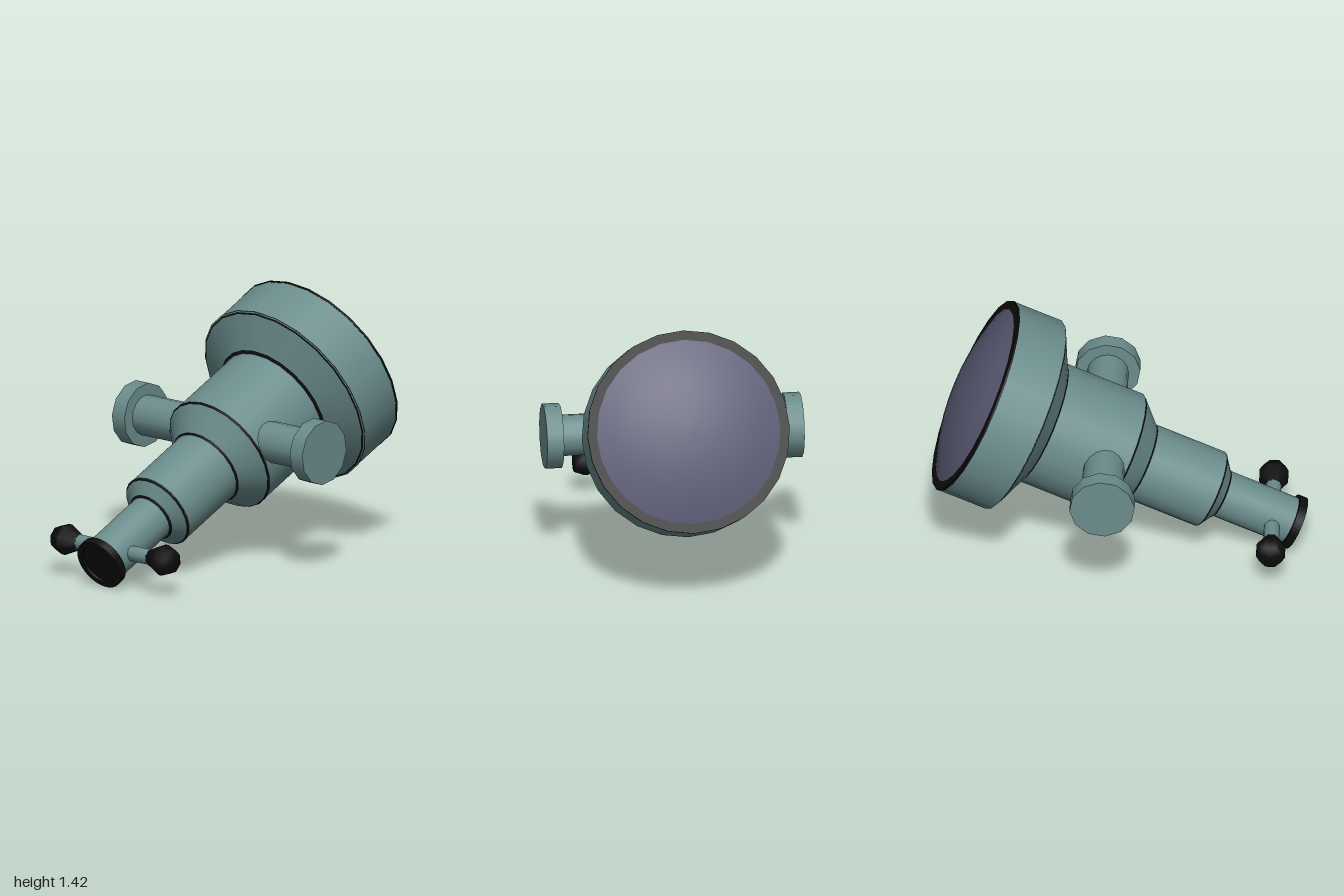
import * as THREE from 'three';

const mat = (color) => new THREE.MeshStandardMaterial({ color });

export function createModel() {
  const model = new THREE.Group();
  model.name = 'telescope';
  const paint = mat(0x6b8c8c), black = mat(0x0d0d0d), glass = mat(0x5a5a74);

  // Tube frame: local +y runs from the eyepiece to the lens, local +z is the upper side
  const tube = new THREE.Group();
  tube.name = 'tube';
  tube.rotation.x = THREE.MathUtils.degToRad(-65);
  tube.position.set(0, 0.137, 0.939);
  model.add(tube);

  const add = (name, geometry, material, parent = tube) => {
    const mesh = new THREE.Mesh(geometry, material);
    mesh.name = name;
    parent.add(mesh);
    return mesh;
  };
  const frustum = (name, s0, s1, r0, r1, material, open = true, parent = tube, sides = 24) => {
    const g = new THREE.CylinderGeometry(r1, r0, s1 - s0, sides, 1, open);
    g.translate(0, (s0 + s1) / 2, 0);
    return add(name, g, material, parent);
  };

  // Stepped body: [distance along the tube, radius]
  const steps = [
    [0.03, 0.128], [0.442, 0.128], [0.504, 0.211], [0.912, 0.211],
    [1.036, 0.336], [1.492, 0.336], [1.597, 0.538], [1.87, 0.538],
  ];
  const names = ['eyepieceTube', 'rearShoulder', 'drawTube', 'middleShoulder',
    'mainBarrel', 'frontShoulder', 'lensHousing'];
  names.forEach((name, i) => {
    const [s0, r0] = steps[i], [s1, r1] = steps[i + 1];
    frustum(name, s0, s1, r0, r1, paint);
    // Dark trim strips along both edges of each shoulder
    if (i % 2 === 1) {
      const k = (r1 - r0) / (s1 - s0), w = 0.008, lift = 0.002;
      frustum('trimRear', s0 - 0.002, s0 + w, r0 + lift, r0 + k * w + lift, black);
      frustum('trimFront', s1 - w, s1 + 0.002, r1 - k * w + lift, r1 + lift, black);
    }
  });

  // Eyepiece cap: a ring with a recessed disc
  const ring = new THREE.Shape().absarc(0, 0, 0.145, 0, Math.PI * 2);
  ring.holes.push(new THREE.Path().absarc(0, 0, 0.115, 0, Math.PI * 2, true));
  const cap = new THREE.ExtrudeGeometry(ring, { depth: 0.045, bevelEnabled: false, curveSegments: 24 });
  cap.rotateX(-Math.PI / 2);
  add('eyepieceRing', cap, black);
  frustum('eyepieceGlass', 0.015, 0.043, 0.13, 0.13, black, false);

  // Lens rim and domed lens
  frustum('lensRim', 1.868, 1.88, 0.54, 0.54, black, false);
  const dome = [];
  const sphereR = (0.49 ** 2 + 0.095 ** 2) / (2 * 0.095), half = Math.asin(0.49 / sphereR);
  for (let i = 0; i <= 6; i++) {
    const a = half * (1 - i / 6);
    dome.push(new THREE.Vector2(Math.max(0, sphereR * Math.sin(a)),
      1.881 + sphereR * (Math.cos(a) - Math.cos(half))));
  }
  add('lens', new THREE.LatheGeometry(dome, 24), glass);

  // Mirrored side parts, each built along its own +y and turned outward
  const knob = [[0.04, 0.247], [0.083, 0.338], [0.083, 0.36], [0.064, 0.413], [0, 0.42]]
    .map(([r, y]) => new THREE.Vector2(r, y));
  for (const side of [1, -1]) {
    const label = side > 0 ? 'left' : 'right';

    const trunnion = new THREE.Group();
    trunnion.name = label + 'Trunnion';
    trunnion.position.set(0, 1.149, 0.064);
    trunnion.rotation.z = -side * Math.PI / 2;
    frustum('trunnionShaft', 0.2, 0.6, 0.11, 0.11, paint, true, trunnion, 16);
    frustum('trunnionFlange', 0.597, 0.687, 0.173, 0.173, paint, false, trunnion, 12);
    tube.add(trunnion);

    const handle = new THREE.Group();
    handle.name = label + 'FocusHandle';
    handle.position.set(0, 0.142, 0);
    handle.rotation.z = -side * Math.PI / 2;
    frustum('handleShaft', 0.08, 0.26, 0.042, 0.042, paint, true, handle, 12);
    add('handleKnob', new THREE.LatheGeometry(knob, 8), black, handle);
    tube.add(handle);
  }
  return model;
}
